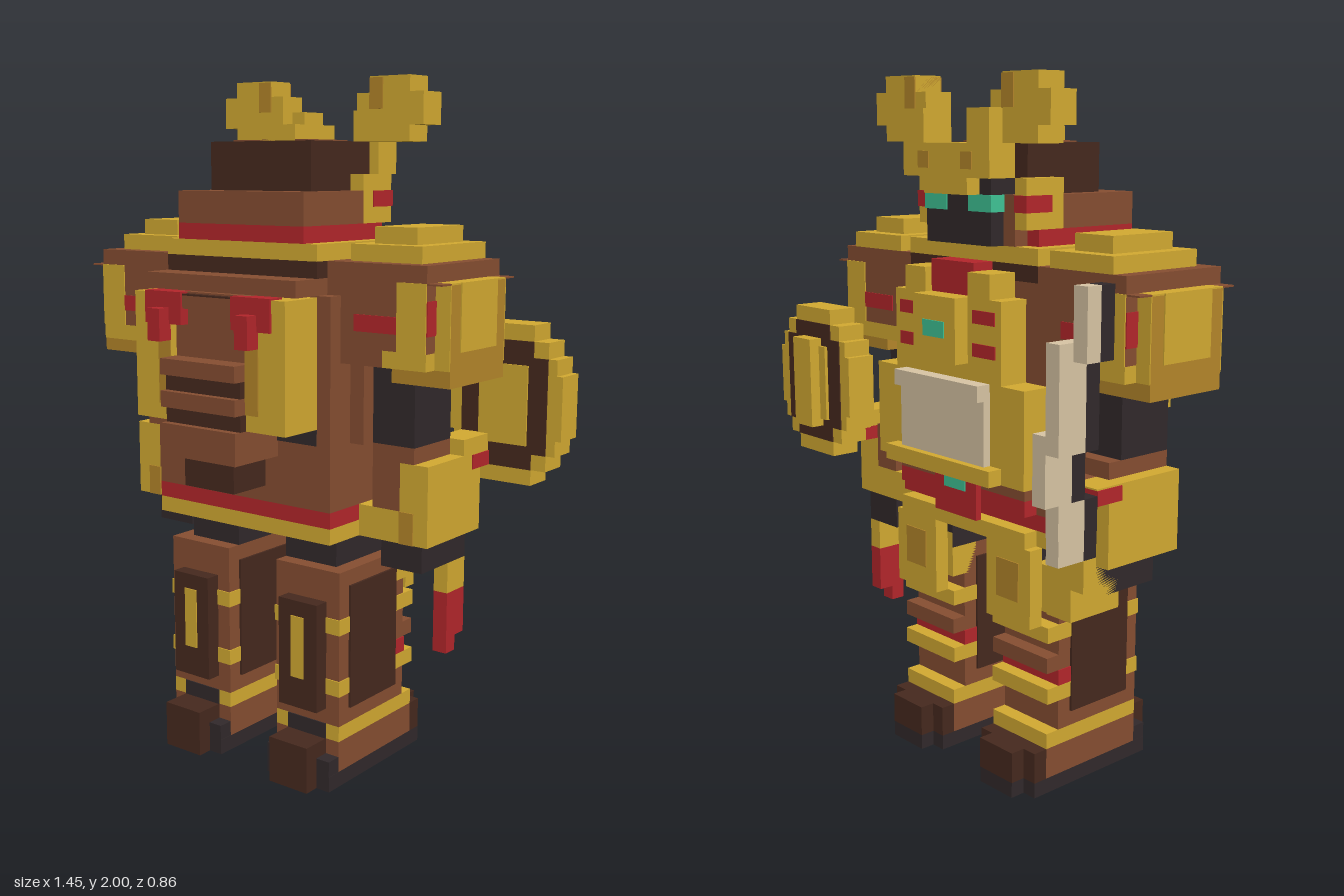
import * as THREE from 'three';

const U = 1 / 22; // one voxel
const colours = {
  gold: 0xd3aa31, darkGold: 0xb5862a, brown: 0x864e31, darkBrown: 0x46291e,
  charcoal: 0x31292b, red: 0xb4262b, bone: 0xd8c5a4, teal: 0x3fc496,
};
const M = {};
for (const [name, color] of Object.entries(colours)) {
  M[name] = new THREE.MeshStandardMaterial({ color });
  M[name].name = name;
}
const E = 0.08; // thickness of painted plates, in voxels

export function createModel() {
  const root = new THREE.Group();
  root.name = 'armouredWarrior';
  let part = root;
  const begin = (name) => {
    part = new THREE.Group();
    part.name = name;
    root.add(part);
  };
  // Box between voxel planes
  const box = (name, mat, x0, x1, y0, y1, z0, z1) => {
    const m = new THREE.Mesh(new THREE.BoxGeometry((x1 - x0) * U, (y1 - y0) * U, (z1 - z0) * U), M[mat]);
    m.position.set(((x0 + x1) / 2 - 16) * U, (y0 + y1) / 2 * U, ((z0 + z1) / 2 - 9.5) * U);
    m.name = name;
    part.add(m);
  };
  // The same box on both sides of the body, whose centre plane is x = 15
  const pair = (name, mat, x0, x1, ...r) => {
    box(name, mat, x0, x1, ...r);
    box(name, mat, 30 - x1, 30 - x0, ...r);
  };

  begin('feet');
  pair('sole', 'charcoal', 8, 13, 0, 1, 5, 15);
  pair('soleTip', 'charcoal', 9, 12, 0, 1, 4, 5);
  pair('shoe', 'brown', 8, 13, 1, 3, 6, 14);
  pair('toeCap', 'darkBrown', 8, 13, 1, 3, 5, 6);
  pair('toeTip', 'darkBrown', 9, 12, 1, 3, 4, 5);
  pair('heelPlate', 'darkBrown', 9, 12, 0, 3, 14, 16);
  pair('heelSide', 'charcoal', 8.02, 12.98, 1, 2, 14, 15);
  pair('ankleBand', 'gold', 8, 13, 3, 4, 6, 14);
  pair('ankleBack', 'charcoal', 9, 12, 3, 4, 14, 14 + E);

  begin('legs');
  pair('shin', 'brown', 8, 13, 4, 14, 7, 14);
  for (const y of [6, 10]) pair('shinBand', 'gold', 8 - E, 13 + E, y, y + 1, 6, 14 + E);
  pair('shinRung', 'brown', 8, 13, 8, 9, 6, 7);
  pair('shinTie', 'red', 8 - E, 13 + E, 7, 8, 7 - E, 8);
  pair('sidePanel', 'darkBrown', 8 - 2 * E, 13 + 2 * E, 5, 13, 8, 13);
  pair('calfPlate', 'darkBrown', 9, 12, 5, 12, 14, 15);
  pair('calfInlay', 'gold', 10, 11, 7, 11, 15, 15 + E);
  pair('thigh', 'charcoal', 9, 13, 14, 17, 6, 13);
  pair('kneeGuard', 'gold', 8, 13, 12, 15, 6, 8);
  pair('kneePlate', 'gold', 8.5, 12.5, 11, 16, 5, 6);
  pair('kneeInlay', 'darkGold', 9.5, 11.5, 12.5, 15, 5 - E, 5);

  begin('torso');
  box('hem', 'gold', 8, 22, 16, 17, 6, 15);
  box('belt', 'red', 8, 22, 17, 18, 6, 15);
  box('waist', 'brown', 8, 22, 18, 31, 6, 15);
  pair('armpit', 'brown', 7, 8, 22, 31, 7, 13);
  box('waistBand', 'charcoal', 9, 21, 22, 23, 15, 15 + E);
  box('upperTorso', 'brown', 9, 21, 31, 32, 6, 15);
  box('collarBase', 'darkBrown', 9, 21, 32, 33, 6, 15);
  box('collar', 'gold', 9, 21, 33, 34, 6, 15);
  box('scarf', 'red', 10, 20, 34, 35, 7, 15);

  begin('chestArmour');
  box('breastplate', 'gold', 10, 20, 26, 31, 4, 6);
  box('breastBoss', 'gold', 13, 17, 27, 31, 3, 4);
  box('breastGem', 'teal', 14, 16, 28.5, 29.5, 3 - E, 3);
  for (const y of [27.5, 29.5]) pair('breastSlit', 'red', 10.5, 12.5, y, y + 0.8, 4 - E, 4);
  box('throatPlate', 'red', 13, 17, 31, 33, 4.5, 6);
  pair('throatSide', 'gold', 11, 13, 31, 32.5, 4, 6);
  box('bellyFrame', 'gold', 8, 22, 20, 26, 4, 6);
  box('bellyLedge', 'bone', 11, 19, 25, 26, 3, 4);
  box('bellyPlate', 'bone', 11, 19, 21, 25, 3.5, 4);
  box('bellySill', 'gold', 10, 20, 20, 21, 3, 4);
  box('frontBelt', 'red', 9, 21, 18, 19, 5, 6);
  box('frontBeltTop', 'brown', 9, 21, 19, 20, 5, 6);
  box('buckle', 'red', 13, 17, 17, 20, 4.6, 5);
  box('buckleGem', 'teal', 14, 16, 18.7, 19.7, 4.6 - E, 4.6);
  box('frontHem', 'gold', 9, 21, 16, 17, 5, 6);

  begin('backMask');
  box('maskBrow', 'brown', 9, 21, 31, 32, 15, 17);
  box('maskCore', 'brown', 12, 18, 23, 31, 15, 17.5);
  pair('maskCheek', 'gold', 9, 12, 23, 30.9, 15, 18);
  pair('cheekShade', 'darkGold', 11, 12, 24, 28, 18, 18 + E);
  pair('maskEye', 'red', 10, 13, 29, 31, 17, 18 + 2 * E);
  pair('maskPupil', 'red', 11, 12, 28, 30, 18, 19);
  box('maskForehead', 'darkBrown', 13, 17, 30.8, 30.9, 17.5, 18);
  box('maskForeheadFace', 'brown', 13, 17, 30, 30.8, 17.5, 18);
  for (let y = 21; y < 27; y++) {
    const dark = y === 23 || y === 25;
    box('mouthSlat', dark ? 'darkBrown' : 'brown', 12, 18, y, y + 1, 15, dark ? 18.5 : 19);
  }
  box('maskChin', 'darkBrown', 13, 17, 19, 21, 15, 18);

  begin('shoulders');
  pair('shoulderBlock', 'brown', 2, 9, 28, 33, 6, 14);
  pair('shoulderTop', 'gold', 3, 8, 33, 34, 6, 13);
  pair('shoulderCap', 'gold', 4, 7, 34, 35, 7, 12);
  for (const z of [6 - E, 14]) {
    pair('shoulderStripe', 'red', 4, 7, 29, 30, z, z + E);
    pair('shoulderFacing', 'gold', 2, 4, 28, 32, z, z + E);
  }
  for (const z of [6, 13]) {
    pair('sideStripe', 'red', 2 - E, 2, 29, 31, z, z + 1);
    pair('sideCorner', 'brown', 1, 2, 31.9, 32, z, z + 1);
  }
  pair('shoulderHem', 'gold', 2, 8, 27, 28, 6, 10);
  pair('shoulderHemOuter', 'gold', 2, 5, 27, 28, 10, 14);
  pair('shoulderHemInner', 'brown', 5, 8, 27, 28, 10, 14);
  pair('shoulderSkirt', 'darkGold', 2, 5, 26, 27, 7, 13);
  pair('sidePlate', 'darkGold', 1, 2, 26, 31.9, 7, 13);
  pair('sidePlateTop', 'gold', 1, 2, 31.9, 32, 7, 13);
  pair('sidePlateFace', 'gold', 1 - E, 1, 28, 32, 8, 12);
  for (const z of [7 - E, 13]) pair('sidePlateEdge', 'gold', 1, 2, 27, 31.9, z, z + E);

  begin('arms');
  pair('upperArm', 'charcoal', 4, 7, 22, 28, 8, 12);
  pair('elbow', 'brown', 4, 7, 21, 22, 7, 12);
  pair('gauntletPlate', 'gold', 3, 5, 16, 21, 6, 12);
  pair('gauntletInner', 'brown', 5, 7, 18, 21, 6, 12);
  pair('gauntletHem', 'gold', 5, 8, 16, 18, 6, 12);
  pair('gauntletShade', 'darkGold', 4, 5, 16, 18, 12, 12 + E);
  pair('cuff', 'red', 3, 5, 20, 20.9, 5, 6);
  pair('cuffSide', 'red', 3 - E, 3, 20, 20.9, 5, 7);
  pair('cuffTop', 'gold', 3, 5, 20.9, 21, 5, 6);
  pair('hand', 'charcoal', 4, 7, 14, 16, 6, 11);

  begin('head');
  box('hood', 'brown', 10, 20, 35, 37, 9, 15);
  box('skull', 'brown', 11, 19, 34, 37, 6, 9);
  box('helmet', 'darkBrown', 11, 19, 37, 40, 7, 13);
  box('helmetTop', 'brown', 12, 18, 40, 40.1, 8, 12);
  box('helmetCap', 'gold', 13, 17, 40, 41, 8, 12);
  box('face', 'charcoal', 12, 18, 34, 38, 5, 7);
  pair('eye', 'teal', 12 - E, 14, 36, 37, 5 - E, 6);
  pair('cheekGuard', 'gold', 10, 11, 35, 38, 6, 9);
  pair('cheekMark', 'red', 10 - E, 11, 36, 37, 6 - E, 8);

  begin('horns');
  box('crest', 'gold', 11, 19, 38, 40, 4, 6);
  box('crestPoint', 'gold', 13, 17, 37, 38, 4, 6);
  pair('crestInlay', 'darkGold', 12.5, 13.5, 38.5, 39.5, 4 - E, 4);
  pair('hornStem', 'gold', 11, 13, 40, 42, 4, 6);
  pair('hornBase', 'gold', 8, 12, 40, 41, 5, 7);
  pair('hornBlade', 'gold', 7, 12, 41, 43, 5, 7);
  pair('hornTip', 'gold', 8, 11, 43, 44, 5, 7);
  pair('hornInlay', 'darkGold', 10, 11, 42, 44 - E, 5 - E, 7 + E);

  // Stepped oval shield: half-widths for each row from its middle
  begin('shield');
  [4, 4, 3.6, 3, 2].forEach((w, n) => {
    for (const y of [24 + n, 23 - n]) box('shieldRow', 'gold', 28 - w, 28 + w, y, y + 1, 3, 5);
  });
  for (const z of [3 - E, 5]) {
    box('shieldRingWide', 'darkBrown', 25, 31, 21, 27, z, z + E);
    box('shieldRingTall', 'darkBrown', 26, 30, 20, 28, z, z + E);
  }
  box('shieldCentre', 'gold', 26.3, 29.7, 21.5, 26.5, 2.7, 5.2);
  box('shieldBoss', 'gold', 27, 29, 21, 27, 2, 3);
  box('shieldGrip', 'gold', 25, 27, 21, 22, 5, 8);

  begin('tassel');
  box('tasselCap', 'gold', 25, 26, 12, 14, 6, 8);
  box('tasselCord', 'red', 25, 26, 9, 12, 6, 8);
  box('tasselEnd', 'red', 25, 26, 8, 9, 7, 8);

  // Curved blade, each step: x, bottom, top, edge start, spine start
  begin('sword');
  box('swordGrip', 'gold', 4, 6, 13, 16, 4, 8);
  box('swordGuard', 'gold', 3, 6, 15, 17, 4, 5);
  const steps = [[3, 17, 19, 2, 4], [2, 19, 21, 1, 3], [2, 21, 25, 0, 2], [1, 24, 30, 0, 2], [0, 29, 33, 1, 2]];
  for (const [x, y0, y1, z0, z1] of steps) {
    box('bladeEdge', 'bone', x, x + 1, y0, y1, z0, z1);
    box('bladeSpine', 'charcoal', x, x + 1, y0, y1, z1, z1 + 1);
  }
  return root;
}
